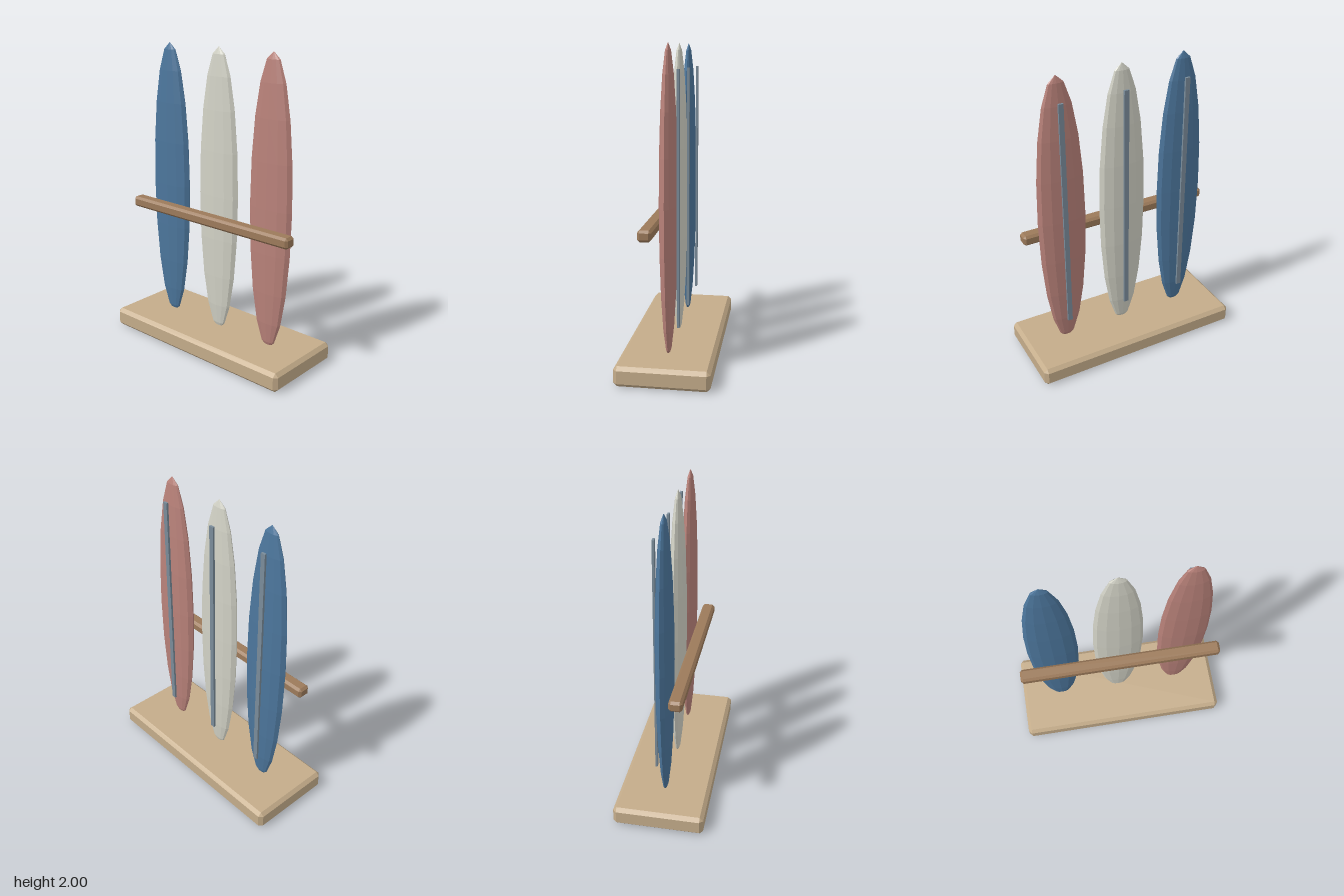
import * as THREE from 'three';
import { ConvexGeometry } from 'three/addons/geometries/ConvexGeometry.js';

const material = (color) => new THREE.MeshStandardMaterial({ color, flatShading: true });

// Box with every edge cut at 45 degrees
function chamferedBox(w, h, d, c) {
  const [x, y, z] = [w / 2, h / 2, d / 2];
  const points = [];
  for (const i of [-1, 1]) for (const j of [-1, 1]) for (const k of [-1, 1]) {
    points.push(
      new THREE.Vector3(i * x, j * (y - c), k * (z - c)),
      new THREE.Vector3(i * (x - c), j * y, k * (z - c)),
      new THREE.Vector3(i * (x - c), j * (y - c), k * z)
    );
  }
  return new ConvexGeometry(points);
}

function addMesh(parent, name, geometry, color, x, y, z) {
  const mesh = new THREE.Mesh(geometry, material(color));
  mesh.name = name;
  mesh.position.set(x, y, z);
  parent.add(mesh);
  return mesh;
}

export function createModel() {
  const group = new THREE.Group();
  group.name = 'boardRack';

  // Plinth and the rail across the front
  addMesh(group, 'plinth', chamferedBox(1.43, 0.127, 0.58, 0.023), 0xc4ac8a, 0, 0.0635, 0);
  addMesh(group, 'frontRail', chamferedBox(1.322, 0.07, 0.084, 0.015), 0x9c7a5a, 0, 0.908, 0.105);

  // Three upright boards, their lower tips sunk into the plinth
  const boardGeometry = new THREE.SphereGeometry(1, 12, 10).scale(0.163, 0.95, 0.051);
  const stripGeometry = new THREE.BoxGeometry(0.032, 1.56, 0.014);
  const boards = [
    ['rightBoard', -0.425, 0x4c769c],
    ['middleBoard', 0, 0xd2d2c6],
    ['leftBoard', 0.425, 0xb9827a],
  ];
  for (const [name, x, color] of boards) {
    const board = new THREE.Group();
    board.name = name;
    board.position.x = x;
    addMesh(board, 'boardBody', boardGeometry, color, 0, 1.05, 0);
    // Thin strip along the back
    addMesh(board, 'backStrip', stripGeometry, 0x7a8c9a, 0, 1.067, -0.059);
    group.add(board);
  }
  return group;
}
